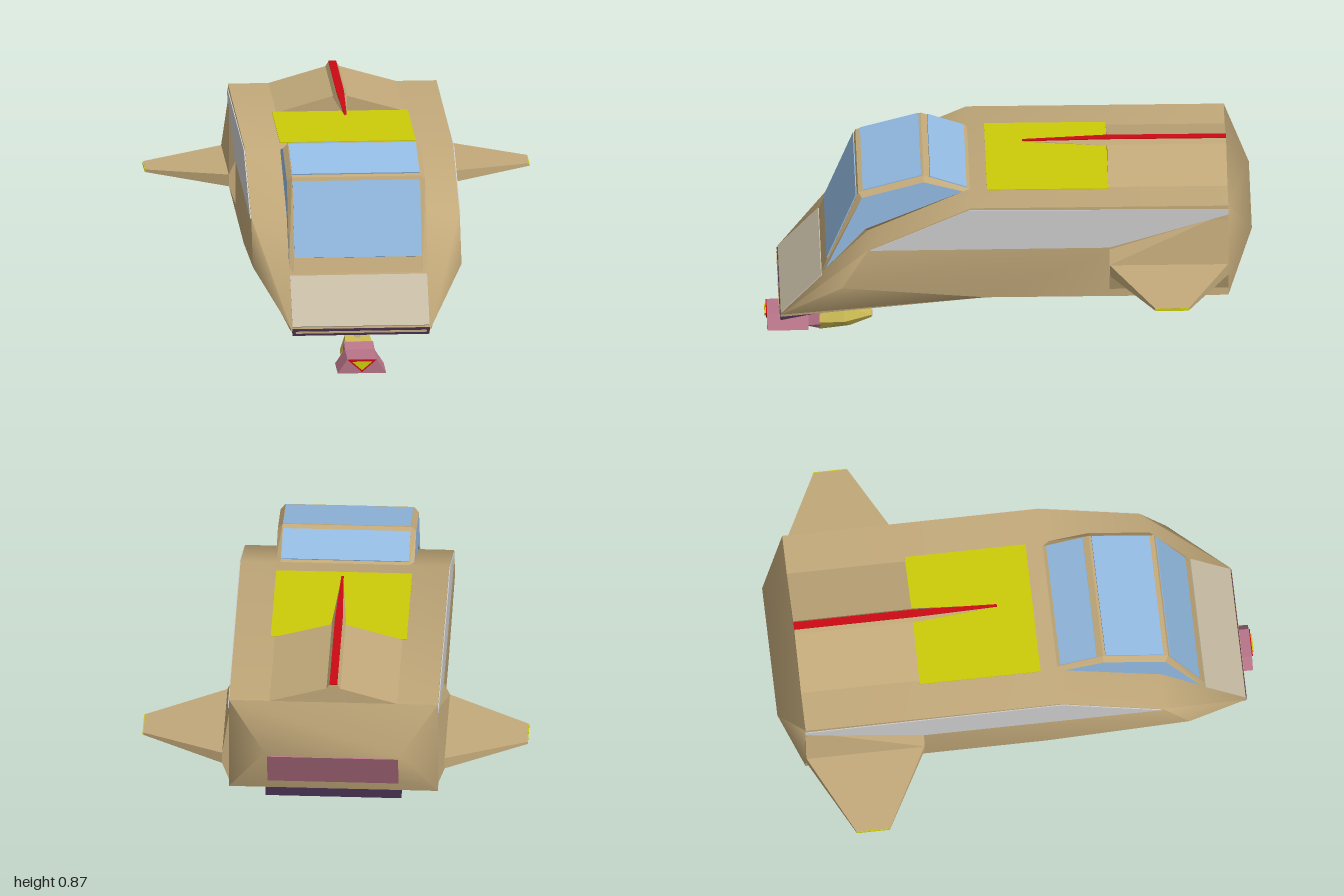
import * as THREE from 'three';
import { toCreasedNormals } from 'three/addons/utils/BufferGeometryUtils.js';
import { ConvexGeometry } from 'three/addons/geometries/ConvexGeometry.js';

function paint(name, color) {
  const m = new THREE.MeshStandardMaterial({ color });
  m.name = name;
  return m;
}

export function createModel() {
  const group = new THREE.Group();
  const tan = paint('tan hull', 0xc2a97a);
  const cream = paint('cream panel', 0xc8bda5);
  const grey = paint('light grey', 0xcccccc);
  const blue = paint('blue glass', 0x93bbe2);
  const yellow = paint('bright yellow', 0xcccc0a);
  const red = paint('red', 0xcc0a14);
  const pink = paint('dusty pink', 0xb87488);
  const purple = paint('dark purple', 0x483050);
  const mustard = paint('mustard', 0xccbb55);

  const add = (name, geometry, material) => {
    const mesh = new THREE.Mesh(geometry, material);
    mesh.name = name;
    group.add(mesh);
    return mesh;
  };
  const box = (name, mat, w, h, d, x, y, z) =>
    add(name, new THREE.BoxGeometry(w, h, d), mat).position.set(x, y, z);
  // Faceted solid around corner points
  const solid = (name, mat, pts) =>
    add(name, new ConvexGeometry(pts.map(p => new THREE.Vector3(...p))), mat);
  // Same, with the corners repeated on the other side of the centre line
  const symmetric = (name, mat, pts) =>
    solid(name, mat, pts.flatMap(([x, y, z]) => [[x, y, z], [-x, y, z]]));
  // Side profile of (z, y) points extruded across x
  const profile = (pts, width, x, bevel = 0) => {
    const shape = new THREE.Shape(pts.map(p => new THREE.Vector2(...p)));
    const g = new THREE.ExtrudeGeometry(shape, {
      depth: width, bevelEnabled: bevel > 0, bevelSize: bevel,
      bevelThickness: bevel, bevelOffset: -bevel, bevelSegments: 1,
    });
    return g.rotateY(-Math.PI / 2).translate(x + width / 2, 0, 0);
  };
  // Thin plate spanning two (z, y) points
  const pane = (name, mat, width, [z0, y0], [z1, y1]) => {
    const len = Math.hypot(z1 - z0, y1 - y0);
    const mesh = add(name, new THREE.BoxGeometry(width, 0.009, len), mat);
    mesh.position.set(0, (y0 + y1) / 2, (z0 + z1) / 2);
    mesh.rotation.x = -Math.atan2(y1 - y0, z1 - z0);
  };

  // Hull: strips across the centre line joined by mirrored side faces
  const P = {
    A: [0.43, 0.78, -0.9], B: [0.43, 0.78, 0.16], C: [0.43, 0.59, 0.58],
    D: [0.43, 0.41, 0.69], N: [0.29, 0.21, 0.94], n: [0.29, 0.2, 0.94],
    E: [0.43, 0.36, 0.1], F: [0.43, 0.36, -0.9], R: [0.28, 0.59, -1],
  };
  const flip = ([x, y, z]) => [-x, y, z];
  const verts = [];
  const tri = (...pts) => pts.forEach(p => verts.push(...p));
  const ring = [...'ABCNnEFR'];
  ring.forEach((k, i) => {
    const p = P[k], q = P[ring[(i + 1) % ring.length]];
    tri(p, flip(p), q);
    tri(flip(p), flip(q), q);
  });
  for (const face of ['ABC', 'ACD', 'ADE', 'AEF', 'CND', 'DNE', 'NnE', 'AFR']) {
    const [a, b, c] = [...face].map(k => P[k]);
    tri(a, b, c);
    tri(flip(a), flip(c), flip(b));
  }
  const hull = new THREE.BufferGeometry();
  hull.setAttribute('position', new THREE.Float32BufferAttribute(verts, 3));
  add('hull', toCreasedNormals(hull, Math.PI / 3), tan);

  // Canopy: tan frame with glazed sides and panes
  const canopy = [[0.77, 0.4], [0.62, 0.77], [0.35, 0.845], [0.16, 0.78], [0.58, 0.59]];
  add('canopy', profile(canopy, 0.53, 0, 0.02), [blue, tan]);
  pane('windscreen', blue, 0.525, [0.746, 0.46], [0.626, 0.755]);
  pane('frontRoofPane', blue, 0.525, [0.6, 0.776], [0.36, 0.842]);
  pane('rearRoofPane', blue, 0.525, [0.325, 0.837], [0.175, 0.785]);

  // Nose panel, keel plate, roof and stern panels
  pane('nosePanel', cream, 0.565, [0.935, 0.215], [0.77, 0.39]);
  add('keelPlate', profile([[0.08, 0.365], [0.08, 0.36], [0.94, 0.18], [0.943, 0.208]], 0.565, 0), purple);
  box('noseStrip', tan, 0.54, 0.008, 0.006, 0, 0.194, 0.942);
  box('roofPanel', yellow, 0.56, 0.008, 0.5, 0, 0.78, -0.16);
  pane('sternPanel', pink, 0.54, [-0.991, 0.57], [-0.922, 0.41]);
  symmetric('bellyHatch', purple, [
    [0.28, 0.365, -0.41], [0.28, 0.365, -0.9], [0.28, 0.32, -0.47], [0.28, 0.32, -0.9],
  ]);

  // Side windows, fin roots and fins
  const sideWindow = [[0.575, 0.587], [0.165, 0.772], [-0.9, 0.762], [-0.9, 0.74], [-0.41, 0.59]];
  for (const s of [1, -1]) {
    const side = s > 0 ? 'left' : 'right';
    add(side + 'Window', profile(sideWindow, 0.008, s * 0.43), grey);
    solid(side + 'FinRoot', tan, [
      [0.425, 0.59, -0.41], [0.425, 0.75, -0.9], [0.425, 0.38, -0.41], [0.425, 0.38, -0.9],
      [0.458, 0.52, -0.41], [0.458, 0.52, -0.9], [0.458, 0.47, -0.41], [0.458, 0.47, -0.9],
    ].map(([x, y, z]) => [s * x, y, z]));
    solid(side + 'Fin', tan, [
      [0.455, 0.52, -0.41], [0.455, 0.52, -0.9], [0.455, 0.47, -0.41], [0.455, 0.47, -0.9],
      [0.79, 0.501, -0.59], [0.79, 0.501, -0.73], [0.79, 0.49, -0.59], [0.79, 0.49, -0.73],
    ].map(([x, y, z]) => [s * x, y, z]));
    box(side + 'FinTip', yellow, 0.005, 0.01, 0.138, s * 0.791, 0.495, -0.66);
  }

  // Roof fairing carrying a long pointed spike with a red top
  symmetric('spikeFairing', tan, [
    [0.28, 0.775, -0.41], [0.28, 0.775, -0.9], [0.02, 0.85, -0.41], [0.02, 0.85, -0.9],
  ]);
  symmetric('spike', tan, [
    [0.03, 0.845, -0.4], [0.03, 0.845, -0.9], [0.016, 0.867, -0.4], [0.016, 0.867, -0.9],
    [0.003, 0.853, -0.06], [0.003, 0.858, -0.06],
  ]);
  symmetric('spikeStripe', red, [
    [0.016, 0.866, -0.4], [0.016, 0.866, -0.9], [0.016, 0.871, -0.4], [0.016, 0.871, -0.9],
    [0.005, 0.856, -0.06], [0.005, 0.861, -0.06],
  ]);

  // Chin gun: strut, rear body, neck, barrel block and muzzle
  add('gunStrut', profile([[0.72, 0.25], [0.58, 0.275], [0.68, 0.1], [0.72, 0.1]], 0.022, 0), cream);
  symmetric('gunBody', mustard, [
    [0.055, 0.11, 0.775], [0.075, 0.05, 0.775], [0.045, 0.005, 0.775],
    [0.05, 0.115, 0.68], [0.07, 0.05, 0.67], [0.04, 0.018, 0.65],
    [0.03, 0.085, 0.56], [0.04, 0.065, 0.56], [0.03, 0.05, 0.56],
  ]);
  box('gunBodyEnd', cream, 0.06, 0.03, 0.006, 0, 0.068, 0.559);
  symmetric('gunNeck', pink, [
    [0.06, 0.11, 0.77], [0.07, 0.04, 0.77], [0.045, 0.008, 0.772],
    [0.06, 0.09, 0.83], [0.07, 0.035, 0.83],
  ]);
  symmetric('gunBlock', pink, [
    [0.06, 0.09, 0.82], [0.06, 0.09, 0.99], [0.1, 0.03, 0.82], [0.1, 0.03, 0.99],
  ]);
  symmetric('muzzleRim', red, [
    [0.06, 0.088, 0.985], [0.06, 0.088, 0.994], [0, 0.036, 0.985], [0, 0.036, 0.994],
  ]);
  symmetric('muzzleCore', yellow, [
    [0.04, 0.08, 0.992], [0.04, 0.08, 1], [0, 0.045, 0.992], [0, 0.045, 1],
  ]);
  return group;
}
